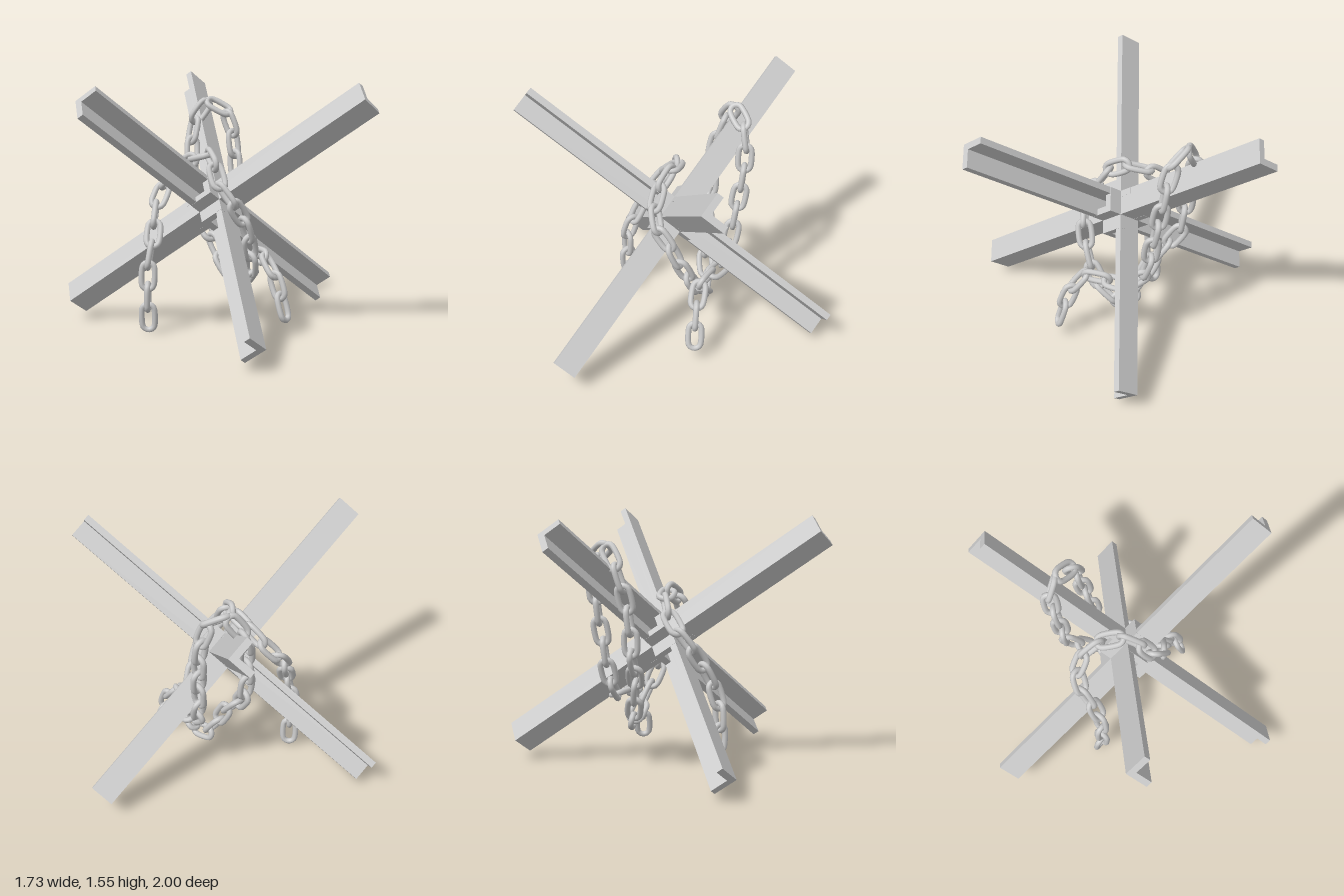
import * as THREE from 'three';

const grey = new THREE.MeshStandardMaterial({ color: 0xcccccc });

// Equal-leg angle bar, centred on its length along z
function angleBar(half, thick, length) {
  const s = half, i = half - thick;
  const shape = new THREE.Shape([
    [-s, s], [-s, -s], [-i, -s], [-i, i], [s, i], [s, s],
  ].map(([x, y]) => new THREE.Vector2(x, y)));
  const geo = new THREE.ExtrudeGeometry(shape, { depth: length, bevelEnabled: false });
  return geo.translate(0, 0, -length / 2);
}

// Stadium-shaped chain link, long axis along y
function linkGeometry(halfLength, halfWidth, wire) {
  const straight = halfLength - halfWidth, points = [];
  for (let k = 0; k < 12; k++) {
    const a = ((k + 0.5) / 12) * Math.PI * 2;
    points.push(new THREE.Vector3(
      Math.cos(a) * halfWidth, Math.sin(a) * halfWidth + Math.sign(Math.sin(a)) * straight, 0));
  }
  const loop = new THREE.CatmullRomCurve3(points, true);
  return new THREE.TubeGeometry(loop, 28, wire, 8, true);
}

export function createModel() {
  const model = new THREE.Group();

  // Three mutually perpendicular beams, repeated by thirds of a turn about y
  const r3 = Math.sqrt(1 / 3), r6 = Math.sqrt(1 / 6), r2 = Math.sqrt(1 / 2);
  const basis = new THREE.Matrix4().makeBasis(
    new THREE.Vector3(r2, r3, -r6),
    new THREE.Vector3(-r2, r3, -r6),
    new THREE.Vector3(0, r3, 2 * r6));
  const beamGeo = angleBar(0.075, 0.04, 2.3).applyMatrix4(basis);
  // Short angle that closes the open side of each beam at the crossing
  const braceGeo = angleBar(0.076, 0.04, 0.32).rotateZ(Math.PI).applyMatrix4(basis);
  for (let i = 0; i < 3; i++) {
    const arm = new THREE.Group();
    arm.name = 'crossedBeam' + (i + 1);
    const beam = new THREE.Mesh(beamGeo, grey);
    beam.name = 'angleBeam';
    const brace = new THREE.Mesh(braceGeo, grey);
    brace.name = 'centreBrace';
    arm.add(beam, brace);
    arm.rotation.y = (i * Math.PI * 2) / 3;
    arm.position.y = 0.8;
    model.add(arm);
  }

  // Path of the chain: up the front, over the crossing, underneath,
  // over the rear left beam and down to the right
  const path = new THREE.CatmullRomCurve3([
    [-0.215, 0.04, 0.355], [-0.2, 0.27, 0.37], [-0.2, 0.45, 0.36], [-0.22, 0.6, 0.31],
    [-0.29, 0.76, 0.23], [-0.31, 0.9, 0.13], [-0.24, 1.0, 0.06], [-0.13, 1.07, 0.03],
    [0, 1.08, 0.04], [0.08, 1.02, 0.07], [0.14, 0.93, 0.08], [0.21, 0.82, 0.04],
    [0.22, 0.7, -0.04], [0.2, 0.56, -0.1], [0.15, 0.41, -0.16], [0.08, 0.31, -0.2],
    [-0.03, 0.28, -0.2], [-0.12, 0.38, -0.17], [-0.18, 0.5, -0.15], [-0.27, 0.62, -0.13],
    [-0.35, 0.73, -0.13], [-0.38, 0.88, -0.13], [-0.4, 1.05, -0.15], [-0.43, 1.22, -0.19],
    [-0.4, 1.34, -0.25], [-0.33, 1.35, -0.31], [-0.28, 1.25, -0.36], [-0.25, 1.1, -0.37],
    [-0.22, 0.93, -0.36], [-0.19, 0.77, -0.34], [-0.16, 0.6, -0.32], [-0.1, 0.49, -0.3],
    [0, 0.45, -0.29], [0.1, 0.46, -0.25], [0.22, 0.45, -0.22], [0.3, 0.35, -0.22],
    [0.385, 0.12, -0.23],
  ].map((p) => new THREE.Vector3(...p)));
  path.arcLengthDivisions = 600;

  // Links follow the path, each turned a quarter from the last
  const chain = new THREE.Group();
  chain.name = 'chain';
  const linkGeo = linkGeometry(0.083, 0.038, 0.018);
  const count = Math.round(path.getLength() / 0.132);
  const frames = path.computeFrenetFrames(count * 2, false);
  const m = new THREE.Matrix4();
  for (let i = 0; i < count; i++) {
    const k = 2 * i + 1;
    const link = new THREE.Mesh(linkGeo, grey);
    link.name = 'chainLink';
    m.makeBasis(frames.normals[k], frames.tangents[k],
      frames.normals[k].clone().cross(frames.tangents[k]));
    link.quaternion.setFromRotationMatrix(m);
    link.rotateY(Math.PI / 4 + (i % 2) * Math.PI / 2);
    link.position.copy(path.getPointAt(k / (count * 2)));
    chain.add(link);
  }
  model.add(chain);
  return model;
}
